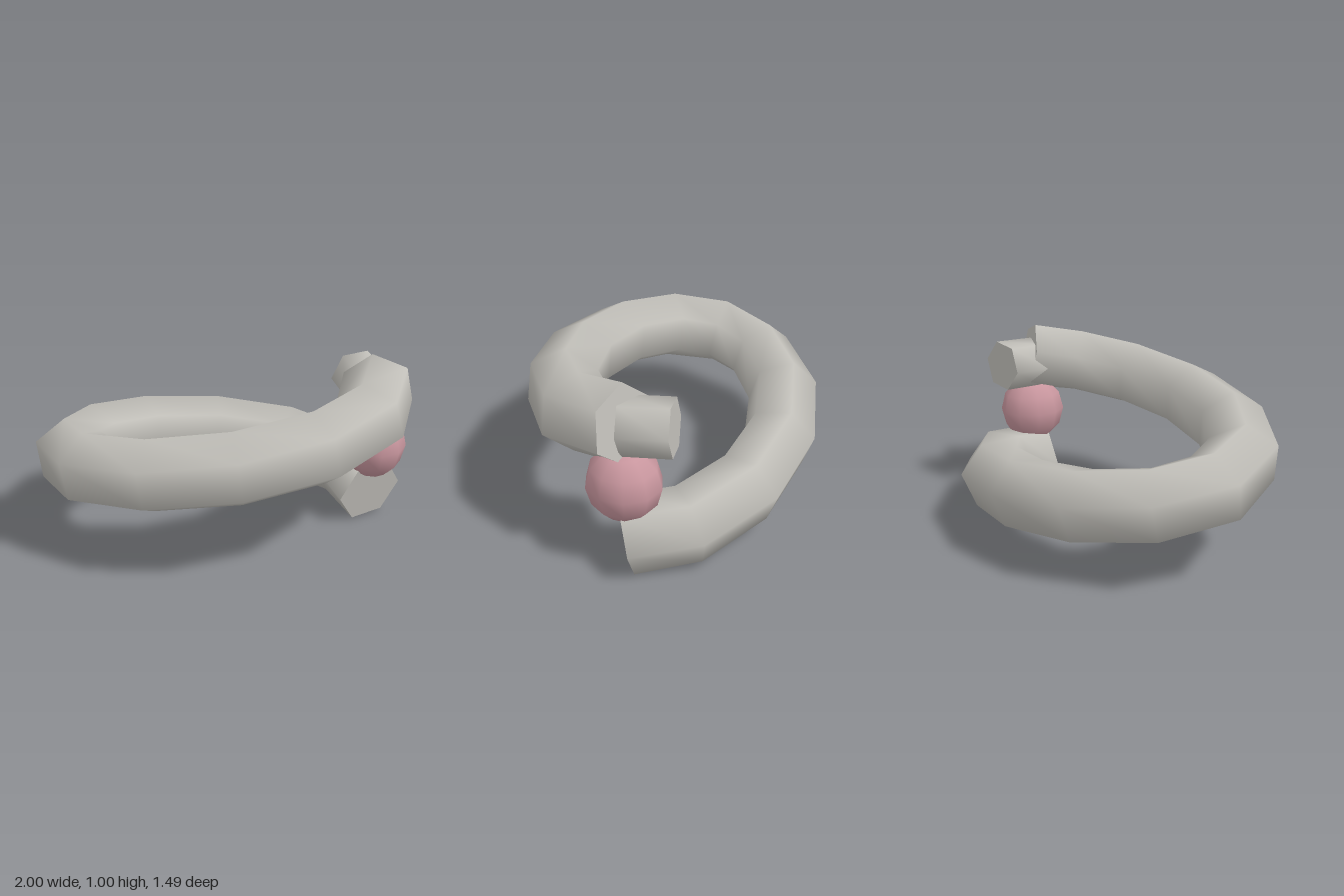
import * as THREE from 'three';

const SIDES = 6;

// Capped hexagonal tube swept along points; the section twists steadily by `twist`.
// outward(i) gives the direction of the section's first axis at point i.
function sweep(points, radius, outward, phase, twist) {
  const n = points.length;
  const pos = [], idx = [];
  const rings = points.map((p, i) => {
    const T = points[Math.min(i + 1, n - 1)].clone().sub(points[Math.max(i - 1, 0)]).normalize();
    const N = outward(i).clone().addScaledVector(T, -outward(i).dot(T)).normalize();
    const B = new THREE.Vector3().crossVectors(N, T);
    const ring = [];
    for (let j = 0; j < SIDES; j++) {
      const a = phase + twist * i / (n - 1) + j / SIDES * Math.PI * 2;
      ring.push(p.clone().addScaledVector(N, radius * Math.cos(a)).addScaledVector(B, radius * Math.sin(a)));
    }
    return ring;
  });
  const add = (v) => pos.push(v.x, v.y, v.z) / 3 - 1;

  // walls
  rings.forEach((ring) => ring.forEach(add));
  for (let i = 0; i < n - 1; i++) {
    for (let j = 0; j < SIDES; j++) {
      const a = i * SIDES + j, b = i * SIDES + (j + 1) % SIDES;
      idx.push(a, a + SIDES, b, b, a + SIDES, b + SIDES);
    }
  }
  // flat end caps with their own vertices
  for (const end of [0, n - 1]) {
    const c = add(points[end]);
    rings[end].forEach(add);
    for (let j = 0; j < SIDES; j++) {
      const a = c + 1 + j, b = c + 1 + (j + 1) % SIDES;
      if (end === 0) idx.push(c, a, b);
      else idx.push(c, b, a);
    }
  }
  const geo = new THREE.BufferGeometry();
  geo.setAttribute('position', new THREE.Float32BufferAttribute(pos, 3));
  geo.setIndex(idx);
  geo.computeVertexNormals();
  return geo;
}

export function createModel() {
  const group = new THREE.Group();
  group.name = 'coiledRing';
  const grey = new THREE.MeshStandardMaterial({ color: 0xc0beb8 });
  grey.name = 'warmGrey';
  const pink = new THREE.MeshStandardMaterial({ color: 0xc8969e });
  pink.name = 'dustyPink';

  const addMesh = (name, geo, mat) => {
    const mesh = new THREE.Mesh(geo, mat);
    mesh.name = name;
    group.add(mesh);
    return mesh;
  };

  // one rising turn: right, back, left, front, right
  const STEPS = 12;
  const path = [], out = [];
  for (let i = 0; i <= STEPS; i++) {
    const a = i / STEPS * Math.PI * 2;
    path.push(new THREE.Vector3(0.82 * Math.cos(a), 0.175 + 0.637 * i / STEPS, -0.56 * Math.sin(a)));
    out.push(new THREE.Vector3(0.56 * Math.cos(a), 0, -0.82 * Math.sin(a)));
  }
  addMesh('coil', sweep(path, 0.195, (i) => out[i], 0, THREE.MathUtils.degToRad(45)), grey);

  // short stub continuing from the upper end
  const stub = [new THREE.Vector3(0.785, 0.78, 0.02), new THREE.Vector3(0.755, 0.795, -0.225)];
  const xAxis = new THREE.Vector3(1, 0, 0);
  addMesh('stub', sweep(stub, 0.143, () => xAxis, 0.12, 0), grey);

  // bead held between the two ends
  const bead = addMesh('bead', new THREE.SphereGeometry(0.195, 10, 6).rotateY(Math.PI / 2), pink);
  bead.scale.set(0.9, 1, 0.98);
  bead.position.set(0.815, 0.485, 0.008);

  return group;
}
